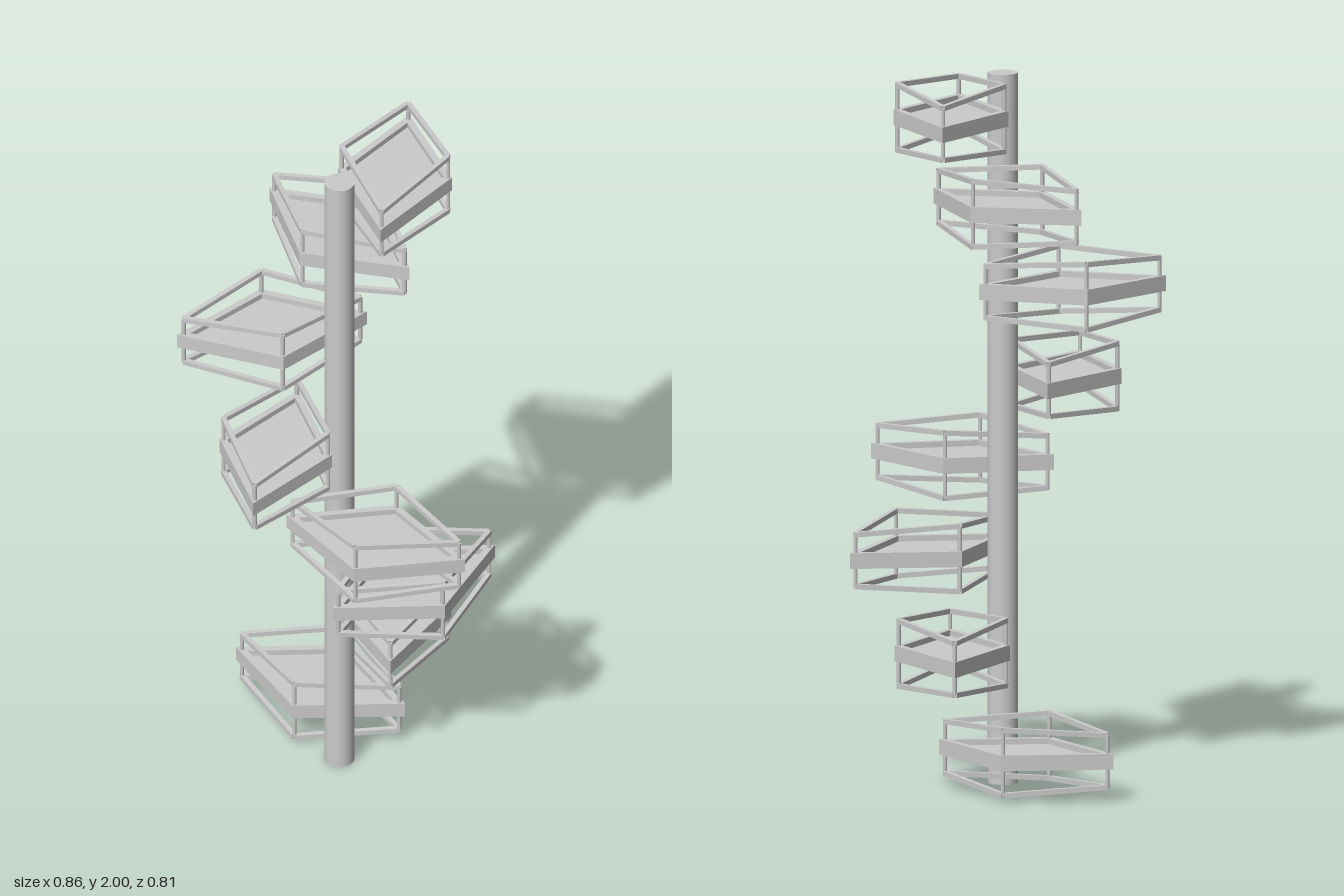
import * as THREE from 'three';

const LONG = 0.268, SHORT = 0.16; // half diagonals of each rhombic platform
const material = new THREE.MeshStandardMaterial({ color: 0xcccccc, flatShading: true });
const smooth = new THREE.MeshStandardMaterial({ color: 0xcccccc });

// Rhombus corners scaled about the centre, long axis on x
const corners = (s) => [[LONG * s, 0], [0, SHORT * s], [-LONG * s, 0], [0, -SHORT * s]]
  .map(([x, y]) => new THREE.Vector2(x, y));

// Horizontal rhombic slab, optionally hollow, centred on y = 0
function slab(name, outer, inner, height) {
  const shape = new THREE.Shape(corners(outer));
  if (inner) shape.holes.push(new THREE.Path(corners(inner)));
  const geo = new THREE.ExtrudeGeometry(shape, { depth: height, bevelEnabled: false });
  geo.translate(0, 0, -height / 2).rotateX(-Math.PI / 2);
  const mesh = new THREE.Mesh(geo, material);
  mesh.name = name;
  return mesh;
}

// Square bar between two points
function bar(name, a, b, width) {
  const mesh = new THREE.Mesh(new THREE.BoxGeometry(width, width, a.distanceTo(b)), material);
  mesh.position.copy(a).add(b).multiplyScalar(0.5);
  mesh.lookAt(b);
  mesh.name = name;
  return mesh;
}

function createPlatform() {
  const g = new THREE.Group();
  g.name = 'platform';
  g.add(slab('rimBand', 1, 0.86, 0.044));
  g.add(slab('floorPlate', 0.87, 0, 0.012));

  // Rails rise at the short-diagonal corners and dip at the long ones
  const rail = (sign) => corners(0.93).map((c, i) =>
    new THREE.Vector3(c.x, sign * (i % 2 ? 0.092 : 0.073), c.y));
  const top = rail(1), bottom = rail(-1);
  for (let i = 0; i < 4; i++) {
    const j = (i + 1) % 4;
    g.add(bar('upperRail', top[i], top[j], 0.014));
    g.add(bar('lowerRail', bottom[i], bottom[j], 0.014));
    const post = new THREE.Mesh(
      new THREE.CylinderGeometry(0.006, 0.006, top[i].y * 2, 8), smooth);
    post.position.set(top[i].x, 0, top[i].z);
    post.name = 'cornerPost';
    g.add(post);
  }
  return g;
}

export function createModel() {
  const model = new THREE.Group();
  model.name = 'spiralPlatformTower';

  // Central pole
  const pole = new THREE.Mesh(new THREE.CylinderGeometry(0.042, 0.042, 2, 32), smooth);
  pole.position.set(-0.013, 1, 0.03);
  pole.name = 'centralPole';
  model.add(pole);

  // Platforms winding up the pole: x, y, z, heading of the long diagonal (degrees)
  const steps = [
    [-0.007, 0.115, -0.175, 45.5],
    [0.176, 0.395, -0.08, -71.5],
    [0.17, 0.645, 0.135, -16.5],
    [0.031, 0.885, 0.236, 39],
    [-0.209, 1.13, 0.07, -60],
    [-0.163, 1.41, -0.122, 5],
    [0.047, 1.66, -0.173, 60],
    [0.176, 1.9, -0.068, -65],
  ];
  for (const [x, y, z, heading] of steps) {
    const platform = createPlatform();
    platform.position.set(x, y, z);
    platform.rotation.y = -THREE.MathUtils.degToRad(heading);
    model.add(platform);
  }
  return model;
}
